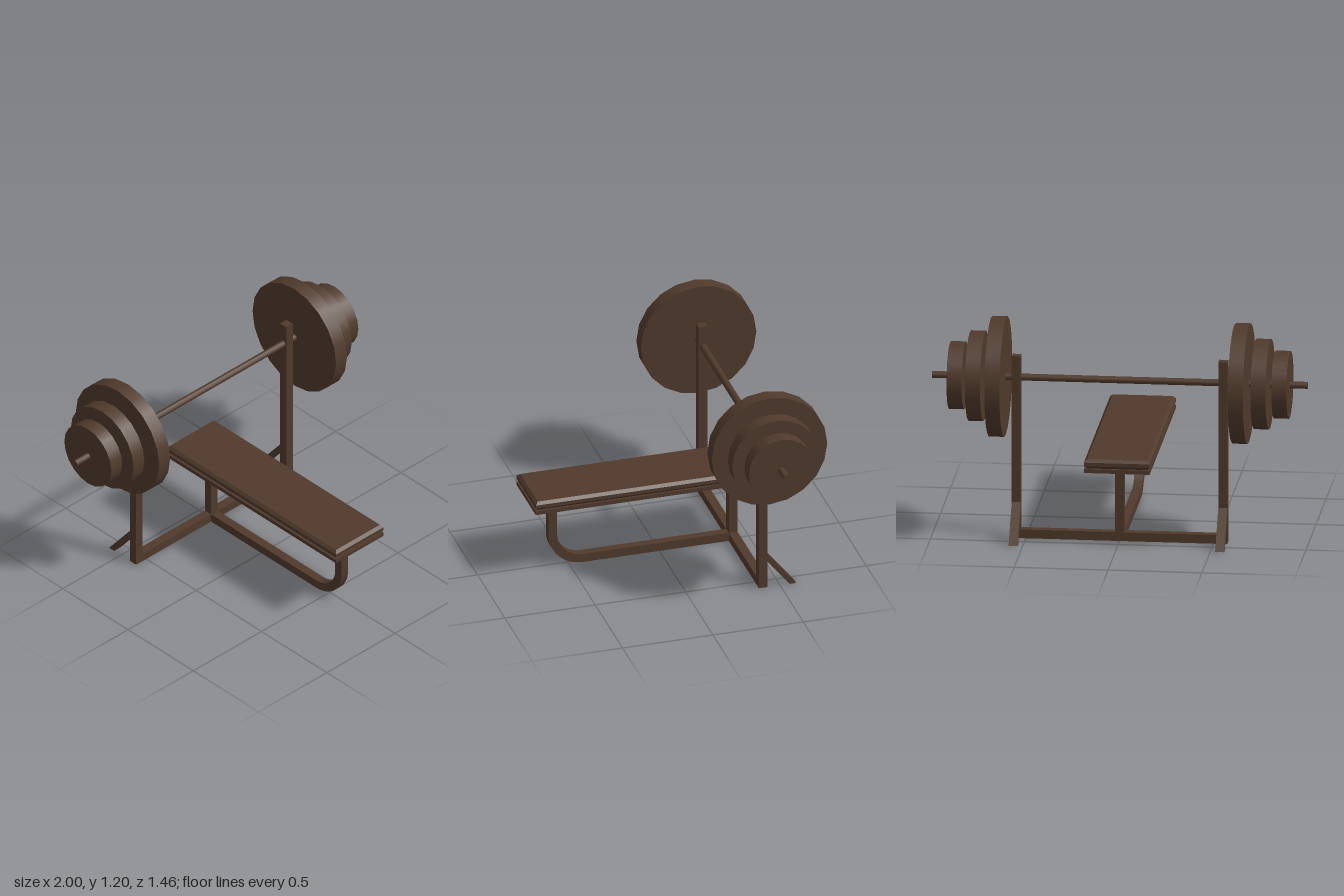
import * as THREE from 'three';
import { toCreasedNormals } from 'three/addons/utils/BufferGeometryUtils.js';

export function createModel() {
  const model = new THREE.Group();
  model.name = 'weightBench';
  const brown = new THREE.MeshStandardMaterial({ color: 0x503a2c });
  brown.name = 'dark brown';

  const T = 0.048; // tube thickness
  const RACK_Z = -0.407;
  const BAR_Y = 0.88;

  function add(name, geometry, x = 0, y = 0, z = 0) {
    const mesh = new THREE.Mesh(geometry, brown);
    mesh.name = name;
    mesh.position.set(x, y, z);
    model.add(mesh);
    return mesh;
  }

  // Extrudes a side profile drawn as (z, y) across x, centred on x = 0
  function sideExtrude(shape, width) {
    const g = new THREE.ExtrudeGeometry(shape, { depth: width, bevelEnabled: false, curveSegments: 10 });
    g.translate(0, 0, -width / 2);
    g.rotateY(-Math.PI / 2);
    return toCreasedNormals(g, 0.5);
  }

  // Cylinder lying along x
  function axle(radius, length, sides) {
    return new THREE.CylinderGeometry(radius, radius, length, sides).rotateZ(Math.PI / 2);
  }

  // Bench board
  add('benchBoard', new THREE.BoxGeometry(0.35, 0.022, 1.3), 0, 0.419, 0.08);

  // Pad with chamfered edges
  const bevel = 0.015, hw = 0.175 - bevel, hl = 0.65 - bevel;
  const padShape = new THREE.Shape([
    new THREE.Vector2(-hw, -hl), new THREE.Vector2(hw, -hl),
    new THREE.Vector2(hw, hl), new THREE.Vector2(-hw, hl),
  ]);
  const pad = new THREE.ExtrudeGeometry(padShape, {
    depth: 0.02, bevelEnabled: true, bevelThickness: bevel, bevelSize: bevel, bevelSegments: 1,
  });
  pad.rotateX(-Math.PI / 2);
  add('benchPad', pad, 0, 0.43 + bevel, 0.08);

  // Floor rail bending up into the front leg
  const front = 0.615, R = 0.195, r = R - T;
  const rail = new THREE.Shape();
  rail.moveTo(RACK_Z, 0);
  rail.lineTo(front - R, 0);
  rail.absarc(front - R, R, R, -Math.PI / 2, 0, false);
  rail.lineTo(front, 0.41);
  rail.lineTo(front - T, 0.41);
  rail.lineTo(front - T, R);
  rail.absarc(front - R, R, r, 0, -Math.PI / 2, true);
  rail.lineTo(RACK_Z, T);
  add('bentFrontLeg', sideExtrude(rail, T));

  // Rear post and rack crossbar
  add('rearPost', new THREE.BoxGeometry(T, 0.41, T), 0, 0.205, RACK_Z);
  add('rackCrossbar', new THREE.BoxGeometry(1.1, T, T), 0, T / 2, RACK_Z);

  // Uprights, braces and weight plates on both sides
  const brace = new THREE.Shape([
    new THREE.Vector2(-0.59, 0), new THREE.Vector2(-0.552, 0),
    new THREE.Vector2(-0.425, 0.158), new THREE.Vector2(-0.425, 0.206),
  ]);
  const plates = [
    ['large', 0.648, 0.32],
    ['medium', 0.76, 0.24],
    ['small', 0.865, 0.18],
  ];
  for (const [side, s] of [['left', 1], ['right', -1]]) {
    add(side + 'Upright', new THREE.BoxGeometry(T, 1.0, T), s * 0.55, 0.5, RACK_Z);
    add(side + 'RearBrace', sideExtrude(brace, T), s * 0.55);
    for (const [size, x, radius] of plates) {
      add(`${side}${size[0].toUpperCase()}${size.slice(1)}Plate`, axle(radius, 0.08, 20), s * x, BAR_Y, RACK_Z);
    }
  }

  // Barbell bar
  add('barbellBar', axle(0.019, 2, 12), 0, BAR_Y, RACK_Z);

  return model;
}
